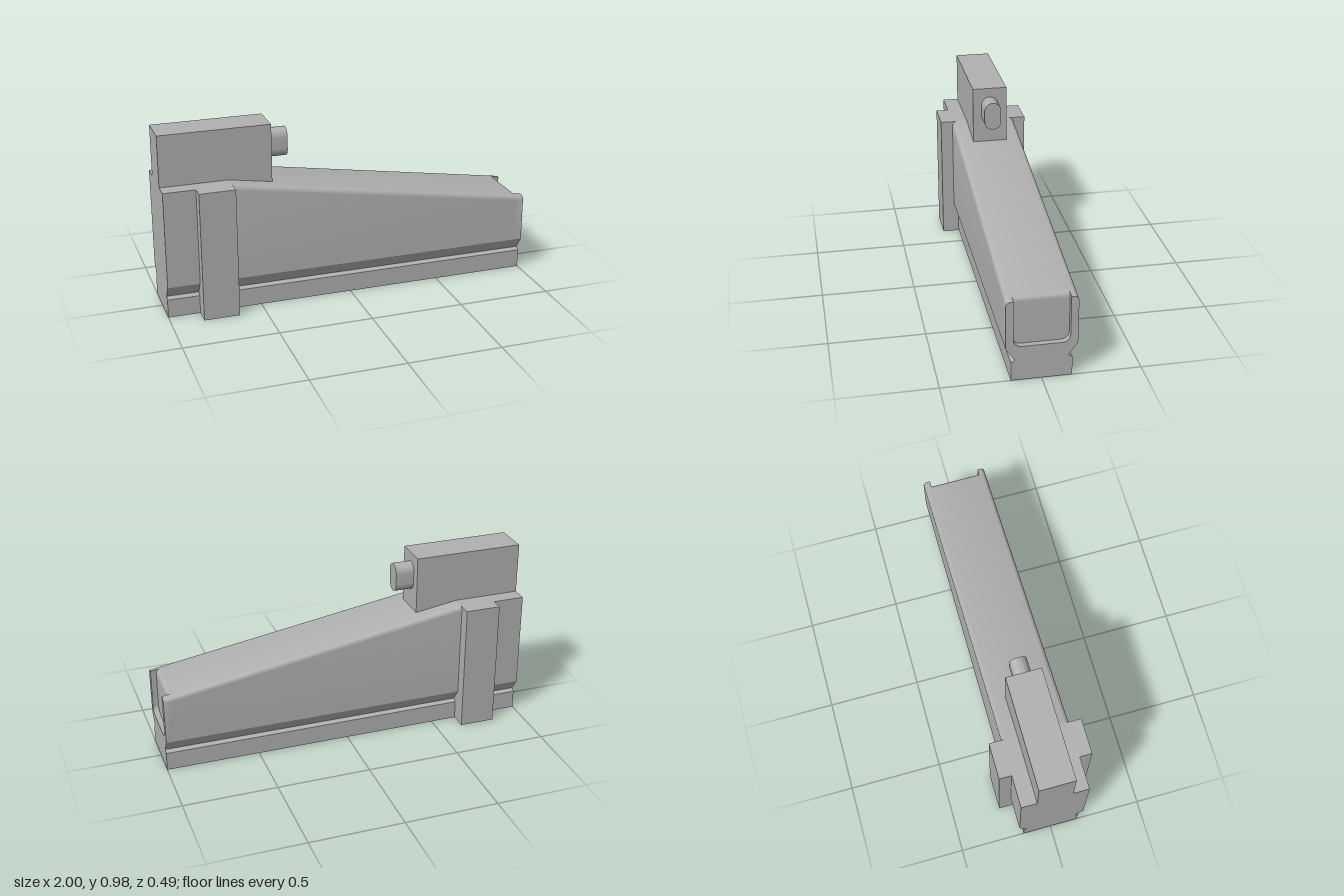
import * as THREE from 'three';
import { toCreasedNormals } from 'three/addons/utils/BufferGeometryUtils.js';

const TOP = 0.7;            // height of the tall end
const SLOPE_START = -0.64;  // where the top begins to fall
const SLOPE = 0.265 / 1.64;
const POCKET_X = 0.945;     // where the end pocket frame begins
const topAt = (x) => TOP - SLOPE * (x - SLOPE_START);

// Rail-shaped cross-section; r rounds the upper corners
function bodyShape(r) {
  const s = new THREE.Shape();
  s.moveTo(-0.152, 0);
  s.lineTo(0.152, 0);
  rightSide(s, r);
  s.lineTo(-0.178 + r, TOP);
  leftSide(s, r);
  return s;
}

function rightSide(s, r) {
  s.lineTo(0.152, 0.1);
  s.lineTo(0.132, 0.113);
  s.lineTo(0.178, 0.18);
  s.lineTo(0.178, TOP - r);
  if (r) s.absarc(0.178 - r, TOP - r, r, 0, Math.PI / 2, false);
}

function leftSide(s, r) {
  if (r) s.absarc(-0.178 + r, TOP - r, r, Math.PI / 2, Math.PI, false);
  else s.lineTo(-0.178, TOP);
  s.lineTo(-0.178, 0.18);
  s.lineTo(-0.132, 0.113);
  s.lineTo(-0.152, 0.1);
  s.closePath();
}

// The same section with an open-topped pocket cut out of it
function frameShape(r) {
  const w = 0.14, floor = 0.187, c = 0.04;
  const s = new THREE.Shape();
  s.moveTo(-0.152, 0);
  s.lineTo(0.152, 0);
  rightSide(s, r);
  s.lineTo(w, TOP);
  s.lineTo(w, floor + c);
  s.absarc(w - c, floor + c, c, 0, -Math.PI / 2, true);
  s.lineTo(-w + c, floor);
  s.absarc(-w + c, floor + c, c, -Math.PI / 2, -Math.PI, true);
  s.lineTo(-w, TOP);
  leftSide(s, r);
  return s;
}

// Extrude a (z, y) section along x, optionally lowering its top along the slope
function extrudeX(shape, x0, x1, sloped = false) {
  const g = new THREE.ExtrudeGeometry(shape, { depth: x1 - x0, bevelEnabled: false, curveSegments: 10 });
  g.rotateY(Math.PI / 2);
  g.translate(x0, 0, 0);
  if (sloped) {
    const p = g.attributes.position;
    for (let i = 0; i < p.count; i++) {
      if (p.getY(i) > 0.5) p.setY(i, p.getY(i) + topAt(p.getX(i)) - TOP);
    }
  }
  return toCreasedNormals(g, 0.5);
}

export function createModel() {
  const group = new THREE.Group();
  const grey = new THREE.MeshStandardMaterial({ color: 0xb0b0b0 });
  grey.name = 'grey';

  const add = (name, geometry) => {
    const mesh = new THREE.Mesh(geometry, grey);
    mesh.name = name;
    group.add(mesh);
  };
  const box = (x0, x1, y0, y1, halfZ) =>
    new THREE.BoxGeometry(x1 - x0, y1 - y0, halfZ * 2).translate((x0 + x1) / 2, (y0 + y1) / 2, 0);

  // Main body: square-edged tall end, then the rounded falling part
  add('tallEnd', extrudeX(bodyShape(0), -1, SLOPE_START));
  add('slopedBody', extrudeX(bodyShape(0.025), SLOPE_START, POCKET_X, true));
  add('pocketFrame', extrudeX(frameShape(0.025), POCKET_X, 1, true));

  // Back wall of the end pocket, with a rounded top edge
  const r = 0.025, wallX = 0.97, y = topAt(POCKET_X);
  const wall = new THREE.Shape();
  wall.moveTo(POCKET_X, 0.187);
  wall.lineTo(wallX, 0.187);
  wall.lineTo(wallX, y - r);
  wall.absarc(wallX - r, y - r, r, 0, Math.PI / 2, false);
  wall.closePath();
  const wallGeometry = new THREE.ExtrudeGeometry(wall, { depth: 0.28, bevelEnabled: false, curveSegments: 10 });
  wallGeometry.translate(0, 0, -0.14);
  add('pocketWall', toCreasedNormals(wallGeometry, 0.5));

  // Cross rib standing out on both sides
  add('sideRib', box(-0.83, SLOPE_START, 0, TOP, 0.244));

  // Upper block with its slot-shaped knob
  add('topBlock', box(-1, -0.41, 0.64, 0.975, 0.094));
  const k = 0.046;
  const knob = new THREE.Shape();
  knob.absarc(0, 0.925 - k, k, 0, Math.PI, false);
  knob.absarc(0, 0.77 + k, k, Math.PI, Math.PI * 2, false);
  knob.closePath();
  add('knob', extrudeX(knob, -0.43, -0.31));

  return group;
}
